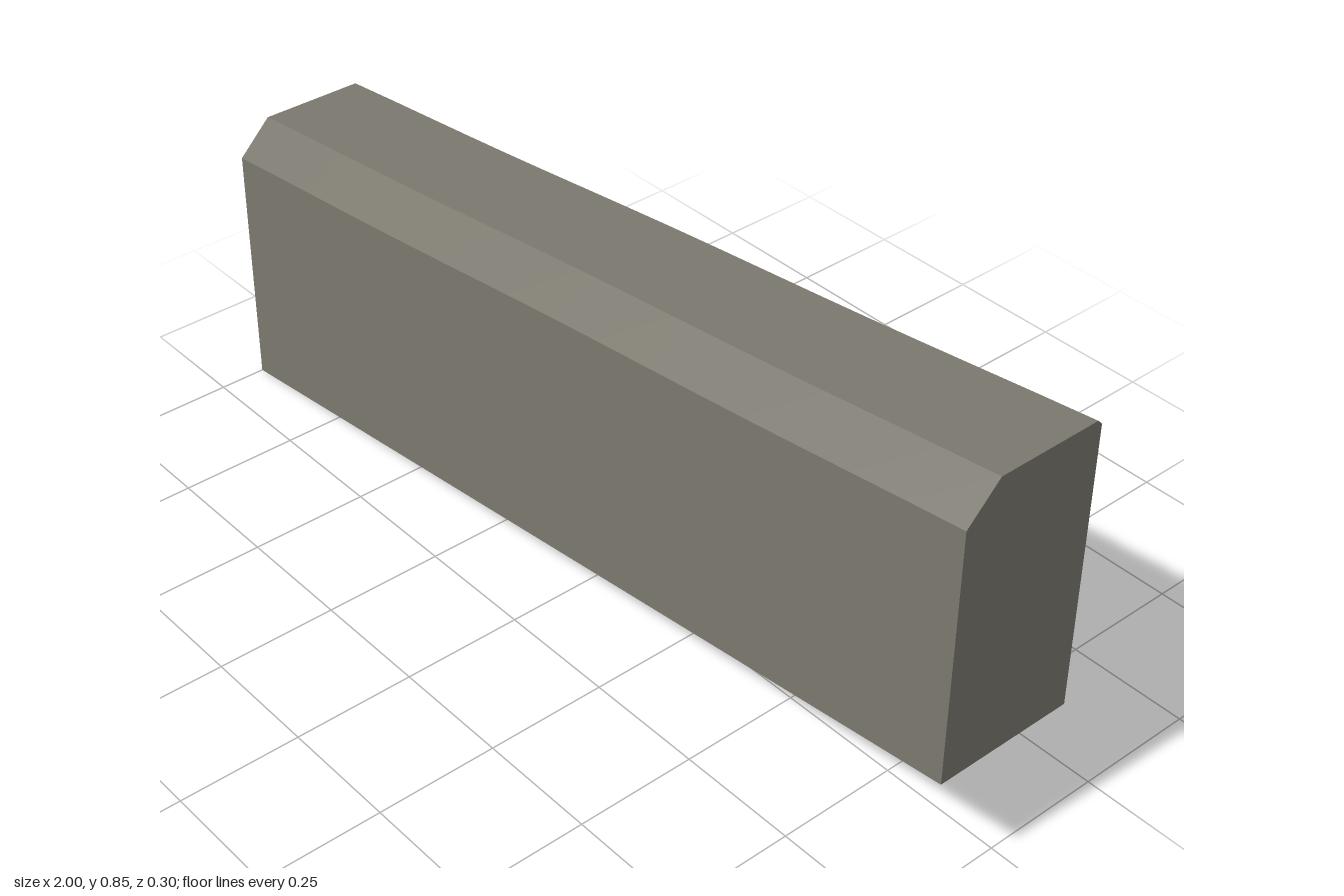
import * as THREE from 'three';

export function createModel() {
  const group = new THREE.Group();
  group.name = 'slopedWall';
  const stone = new THREE.MeshStandardMaterial({ color: 0x7b786e });
  stone.name = 'greyStone';

  // Cross-section: wide chamfer at the front, narrow one at the back
  const section = new THREE.Shape([
    [-0.15, 0], [0.15, 0], [0.15, 0.59], [0.14, 0.6], [-0.08, 0.6], [-0.15, 0.53],
  ].map(([x, y]) => new THREE.Vector2(x, y)));

  const geometry = new THREE.ExtrudeGeometry(section, { depth: 2, steps: 16, bevelEnabled: false });
  geometry.translate(0, 0, -1);
  geometry.rotateY(Math.PI / 2);

  // Shear the wall up towards +x, with a faint sag along the top
  const p = geometry.attributes.position;
  for (let i = 0; i < p.count; i++) {
    const x = p.getX(i), y = p.getY(i);
    const sag = y > 0.3 ? 0.003 * Math.sin(Math.PI * x) ** 2 : 0;
    p.setY(i, y + 0.1225 * (x + 1) - sag);
  }
  geometry.computeVertexNormals();

  const wall = new THREE.Mesh(geometry, stone);
  wall.name = 'wall';
  group.add(wall);
  return group;
}
